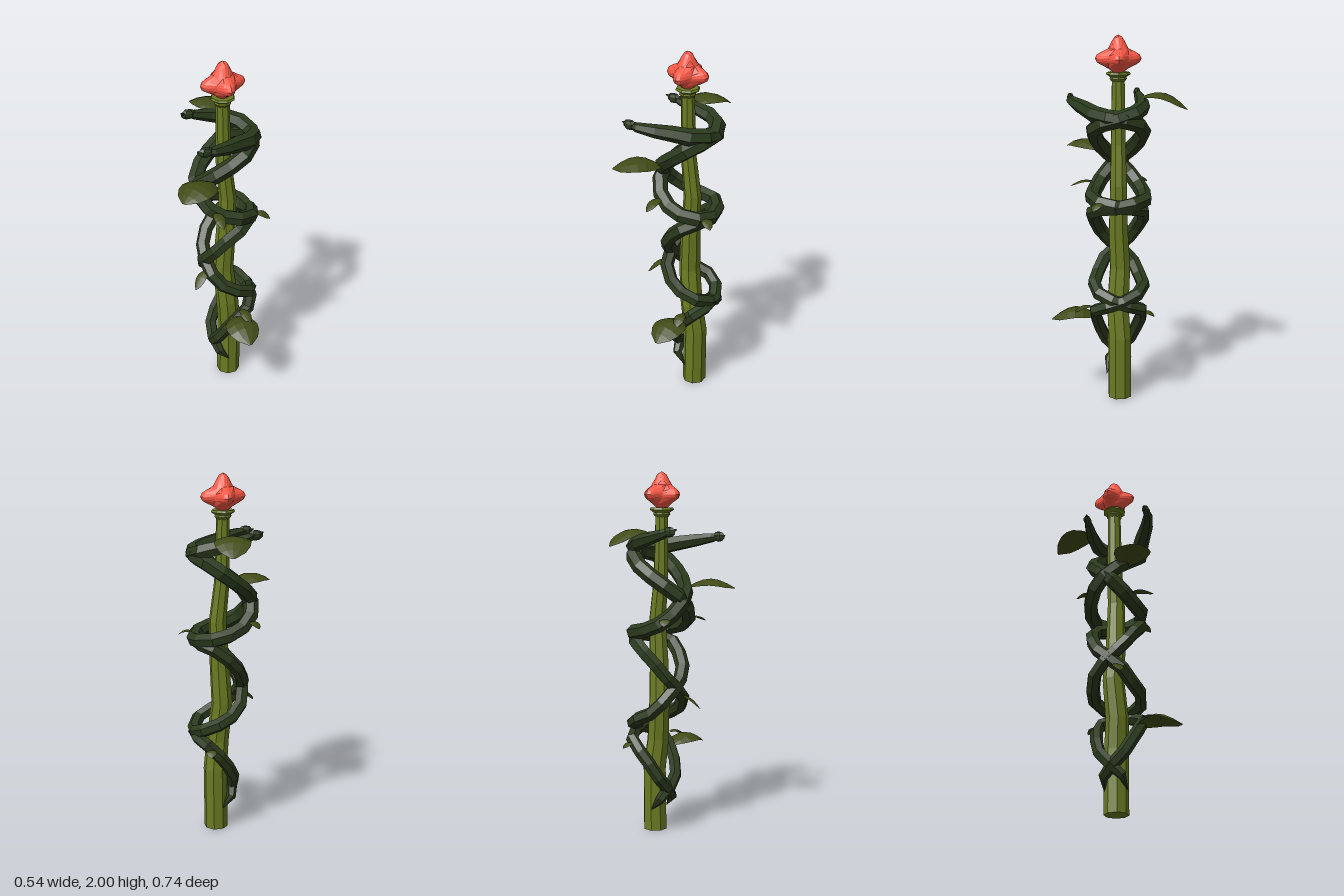
import * as THREE from 'three';

const mat = (color, side = THREE.FrontSide) =>
  new THREE.MeshStandardMaterial({ color, side, flatShading: true });
const V = (a) => new THREE.Vector3(...a);

export function createModel() {
  const group = new THREE.Group();
  const stemMat = mat(0x6a7b22);
  const vineMat = mat(0x2b3a1d);
  const leafMat = mat(0x414b17, THREE.DoubleSide);
  const flowerMat = mat(0xfa5845);

  const add = (name, geometry, material) => {
    const mesh = new THREE.Mesh(geometry, material);
    mesh.name = name;
    group.add(mesh);
    return mesh;
  };

  // Stem: octagonal rings [y, x, z, radius], slightly crooked
  const rings = [
    [0, 0.091, -0.007, 0.067], [0.35, 0.095, -0.007, 0.066], [0.52, 0.078, 0.004, 0.063],
    [0.74, 0.056, -0.01, 0.059], [0.95, 0.066, 0, 0.055], [1.2, 0.077, 0, 0.048],
    [1.42, 0.052, 0, 0.042], [1.78, 0.045, 0, 0.036],
  ];
  const stem = new THREE.CylinderGeometry(1, 1, 1, 8, rings.length - 1);
  stem.rotateY(Math.PI / 8);
  const sp = stem.attributes.position;
  for (let i = 0; i < sp.count; i++) {
    const [y, x, z, r] = rings[Math.round((sp.getY(i) + 0.5) * (rings.length - 1))];
    sp.setXYZ(i, x + sp.getX(i) * r, y, z + sp.getZ(i) * r);
  }
  add('stem', stem, stemMat);

  // Calyx: flared collar below the flower
  const collar = [[0.034, 1.755], [0.046, 1.77], [0.044, 1.78], [0.066, 1.795], [0.06, 1.806], [0, 1.806]];
  add('calyx', new THREE.LatheGeometry(collar.map((p) => new THREE.Vector2(...p)), 8), stemMat)
    .position.set(0.045, 0, 0);

  // Flower: a rounded cube pulled out into lobes, each ending in a small flat patch
  const flower = new THREE.BoxGeometry(6, 6, 6, 6, 6, 6);
  const grid = [0, 0.17, 0.32, 1];
  const warp = (c) => Math.sign(c) * grid[Math.round(Math.abs(c))];
  const fp = flower.attributes.position;
  for (let i = 0; i < fp.count; i++) {
    const n = new THREE.Vector3(warp(fp.getX(i)), warp(fp.getY(i)), warp(fp.getZ(i))).normalize();
    const m = Math.max(Math.abs(n.x), Math.abs(n.y), Math.abs(n.z));
    const reach = n.y < -0.71 ? 0.008 : 0.049;
    n.multiplyScalar(0.074 + reach * m ** 12);
    fp.setXYZ(i, n.x, n.y, n.z);
  }
  add('flower', flower, flowerMat).position.set(0.045, 1.877, 0);

  // Vines: two opposed spirals sharing one path, each with its own end
  const path = [
    [0.07, 0.12, -0.065], [0.025, 0.17, -0.065], [-0.003, 0.24, 0], [0.01, 0.33, 0.08],
    [0.07, 0.43, 0.11], [0.15, 0.52, 0.13], [0.213, 0.575, 0], [0.14, 0.635, -0.13],
    [0.02, 0.69, -0.115], [-0.045, 0.77, -0.07], [-0.055, 0.83, 0], [-0.04, 0.9, 0.075],
    [0.01, 0.98, 0.115], [0.11, 1.07, 0.135], [0.205, 1.105, 0], [0.14, 1.13, -0.135],
    [0, 1.165, -0.125], [-0.085, 1.23, -0.075], [-0.108, 1.31, 0], [-0.07, 1.37, 0.065],
    [0.03, 1.45, 0.12], [0.14, 1.53, 0.122], [0.208, 1.575, 0],
  ];
  const ends = {
    backEndedVine: [1, [[0.15, 1.61, -0.11], [0.04, 1.64, -0.127], [-0.07, 1.67, -0.115], [-0.15, 1.695, -0.1]]],
    frontEndedVine: [-1, [[0.17, 1.585, 0.1], [0.06, 1.61, 0.17], [-0.1, 1.64, 0.252], [-0.195, 1.655, 0.253]]],
  };
  for (const [name, [side, end]] of Object.entries(ends)) {
    const pts = [...path.map(([x, y, z]) => V([x, y, z * side])), ...end.map(V)];
    const curve = new THREE.CatmullRomCurve3(pts);
    const segs = 36, sides = 6;
    const tube = new THREE.TubeGeometry(curve, segs, 1, sides);
    const tp = tube.attributes.position;
    const tips = {
      0: 0.001, 1: 0.027,
      [segs - 3]: 0.042, [segs - 2]: 0.036, [segs - 1]: 0.026, [segs]: 0.003,
    };
    for (let i = 0; i < tp.count; i++) {
      const k = Math.floor(i / (sides + 1));
      const c = curve.getPointAt(k / segs);
      const r = tips[k] ?? 0.034 + 0.013 * (k / segs);
      const p = new THREE.Vector3().fromBufferAttribute(tp, i).sub(c).multiplyScalar(r).add(c);
      tp.setXYZ(i, p.x, p.y, p.z);
    }
    add(name, tube, vineMat);
    // Elongated bud closing the upper tip
    const bud = add(name + 'Bud', new THREE.SphereGeometry(0.026, 6, 5), vineMat);
    bud.position.copy(curve.getPointAt(0.985));
    bud.scale.set(1.6, 1.1, 0.8);
  }

  // Leaves: an arched blade from base to tip, folded down along its sides
  const widths = [0.12, 0.6, 0.92, 1, 0.93, 0.66, 0.08];
  function leaf(name, base, tip, half, arch, fold = 0.24) {
    const a = V(base), b = V(tip), rows = widths.length - 1;
    const across = b.clone().sub(a).cross(new THREE.Vector3(0, 1, 0)).normalize();
    const g = new THREE.PlaneGeometry(2, 1, 4, rows);
    const p = g.attributes.position;
    for (let i = 0; i < p.count; i++) {
      const s = p.getX(i), t = p.getY(i) + 0.5;
      const w = widths[Math.round(t * rows)] * half;
      const q = a.clone().lerp(b, t).addScaledVector(across, s * w);
      q.y += arch * Math.sin(Math.PI * t) - fold * w * s * s;
      p.setXYZ(i, q.x, q.y, q.z);
    }
    add(name, g, leafMat);
  }
  leaf('upperBackLeaf', [0.025, 1.67, -0.12], [0.082, 1.61, -0.367], 0.096, 0.055);
  leaf('upperFrontLeaf', [-0.05, 1.375, 0.1], [-0.267, 1.372, 0.25], 0.1, 0.048, 0.3);
  leaf('lowerFrontLeaf', [0.075, 0.465, 0.11], [0.07, 0.45, 0.367], 0.092, 0.058, 0.36);
  const small = [
    [[0.14, 0.5, -0.125], [0.16, 0.485, -0.195]],
    [[-0.075, 1.21, -0.105], [-0.115, 1.185, -0.165]],
    [[0.2, 1.125, 0.09], [0.268, 1.1, 0.142]],
    [[-0.045, 1.2, 0.12], [-0.05, 1.175, 0.26]],
    [[0.105, 0.53, 0.14], [0.12, 0.5, 0.248]],
    [[-0.06, 0.78, 0.04], [-0.15, 0.705, 0.1]],
  ];
  small.forEach(([a, b], i) => leaf('smallLeaf' + (i + 1), a, b, 0.03, 0.02));

  return group;
}
